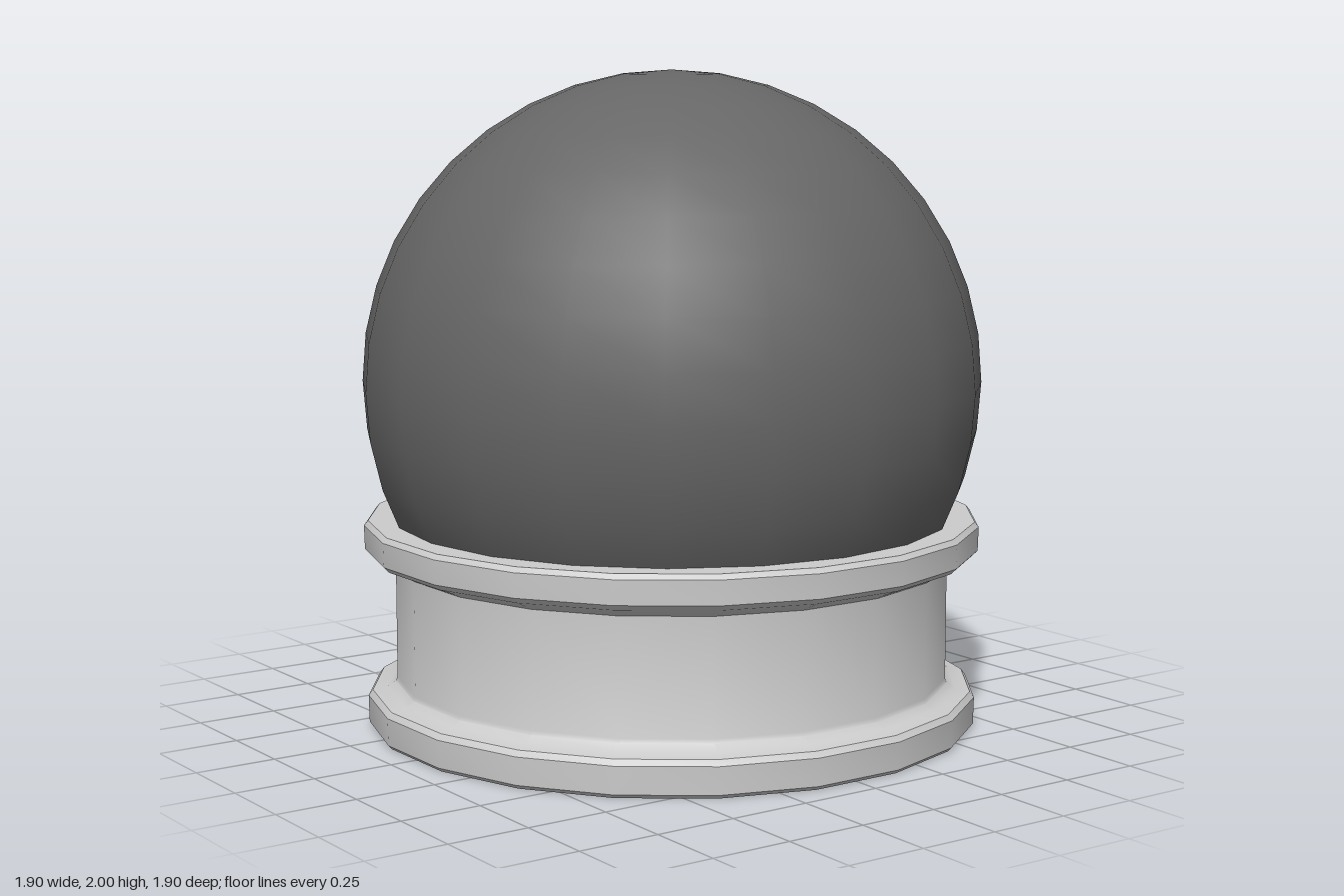
import * as THREE from 'three';
import { toCreasedNormals } from 'three/addons/utils/BufferGeometryUtils.js';

const SIDES = 20;

export function createModel() {
  const model = new THREE.Group();
  model.name = 'globeOnStand';

  // Globe resting in the stand
  const globe = new THREE.Mesh(
    new THREE.SphereGeometry(0.95, SIDES, 20),
    new THREE.MeshStandardMaterial({ color: 0x666666 })
  );
  globe.name = 'globe';
  globe.position.y = 1.05;
  model.add(globe);

  // Turned stand: foot, waist and rim, as [radius to flat, height]
  const profile = [
    [0, 0], [0.915, 0], [0.926, 0.012], [0.928, 0.095], [0.915, 0.112],
    [0.87, 0.12], [0.845, 0.138], [0.84, 0.15],
    [0.84, 0.502], [0.858, 0.512], [0.915, 0.535], [0.932, 0.552],
    [0.934, 0.625], [0.922, 0.64], [0.78, 0.64],
  ];
  const toCorner = 1 / Math.cos(Math.PI / SIDES);
  const points = profile.map(([r, y]) => new THREE.Vector2(r * toCorner, y));
  const lathe = new THREE.LatheGeometry(points, SIDES, Math.PI / SIDES);
  const stand = new THREE.Mesh(
    toCreasedNormals(lathe, THREE.MathUtils.degToRad(32)),
    new THREE.MeshStandardMaterial({ color: 0xcccccc })
  );
  stand.name = 'stand';
  model.add(stand);

  return model;
}
